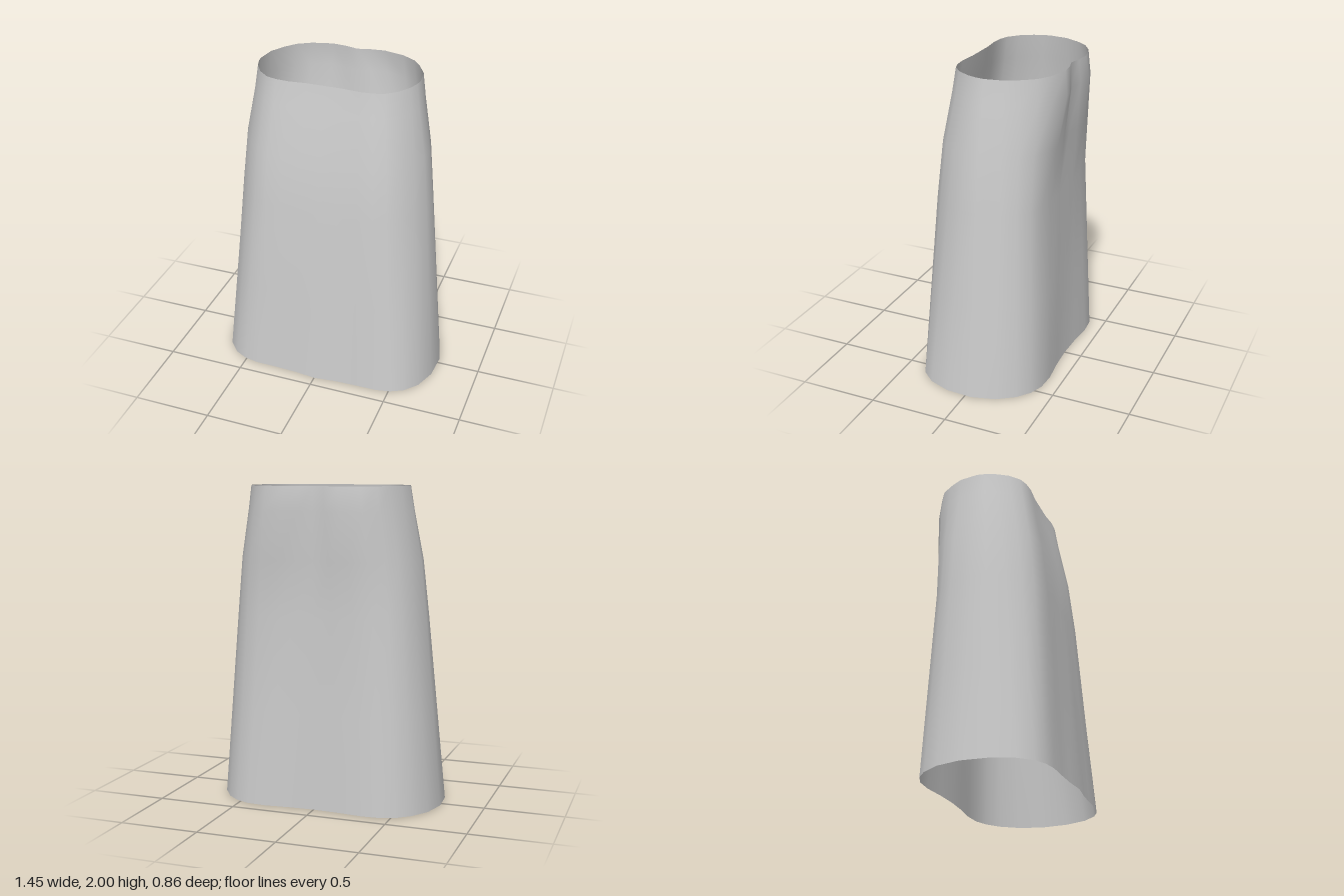
import * as THREE from 'three';

// Half outlines [x, z], running from front centre round the left side to back centre
const hem = [[0, .43], [.14, .415], [.28, .41], [.42, .408], [.51, .39], [.59, .35], [.665, .265], [.715, .13],
  [.725, -.04], [.685, -.19], [.61, -.3], [.53, -.365], [.44, -.4], [.32, -.408], [.16, -.392], [0, -.385]];
const waist = [[0, .335], [.12, .335], [.25, .335], [.35, .33], [.43, .305], [.5, .25], [.565, .165], [.61, .06],
  [.62, -.045], [.585, -.18], [.53, -.265], [.46, -.325], [.37, -.355], [.25, -.365], [.12, -.37], [0, -.37]];
const rim = [[0, .21], [.11, .21], [.22, .22], [.3, .215], [.365, .195], [.43, .14], [.48, .06], [.5, 0],
  [.508, -.05], [.49, -.17], [.44, -.26], [.385, -.33], [.3, -.382], [.17, -.415], [.075, -.405], [0, -.385]];

// Blend two outlines, pushing the two rear lobes outward by bulge
function blend(a, b, t, bulge = 0) {
  return a.map(([x, z], i) => {
    const lobe = Math.max(0, 1 - Math.abs(i - 13) / 3);
    return [x + (b[i][0] - x) * t, z + (b[i][1] - z) * t - bulge * lobe];
  });
}

// Mirror a half outline into a closed ring
function ring(half) {
  return [...half, ...half.slice(1, -1).reverse().map(([x, z]) => [-x, z])];
}

// Smooth open tube through stacked rings
function loft(levels) {
  const position = [], index = [];
  const rings = levels.map(([, half]) => ring(half));
  const n = rings[0].length;
  rings.forEach((r, k) => r.forEach(([x, z]) => position.push(x, levels[k][0], z)));
  for (let k = 0; k < rings.length - 1; k++) {
    for (let i = 0; i < n; i++) {
      const a = k * n + i, b = k * n + (i + 1) % n;
      index.push(a, b, b + n, a, b + n, a + n);
    }
  }
  const geometry = new THREE.BufferGeometry();
  geometry.setAttribute('position', new THREE.Float32BufferAttribute(position, 3));
  geometry.setIndex(index);
  geometry.computeVertexNormals();
  return geometry;
}

export function createModel() {
  const group = new THREE.Group();
  group.name = 'openSleeve';
  const grey = new THREE.MeshStandardMaterial({ color: 0xcccccc, side: THREE.DoubleSide });
  grey.name = 'light grey';

  // Tapered open shell with a shallow groove at the upper back
  const shell = new THREE.Mesh(loft([
    [0, hem],
    [0.6, blend(hem, waist, 0.5)],
    [1.2, waist],
    [1.55, blend(waist, rim, 0.32, 0.015)],
    [1.85, blend(waist, rim, 0.8, 0.027)],
    [2, rim],
  ]), grey);
  shell.name = 'shell';
  group.add(shell);
  return group;
}
